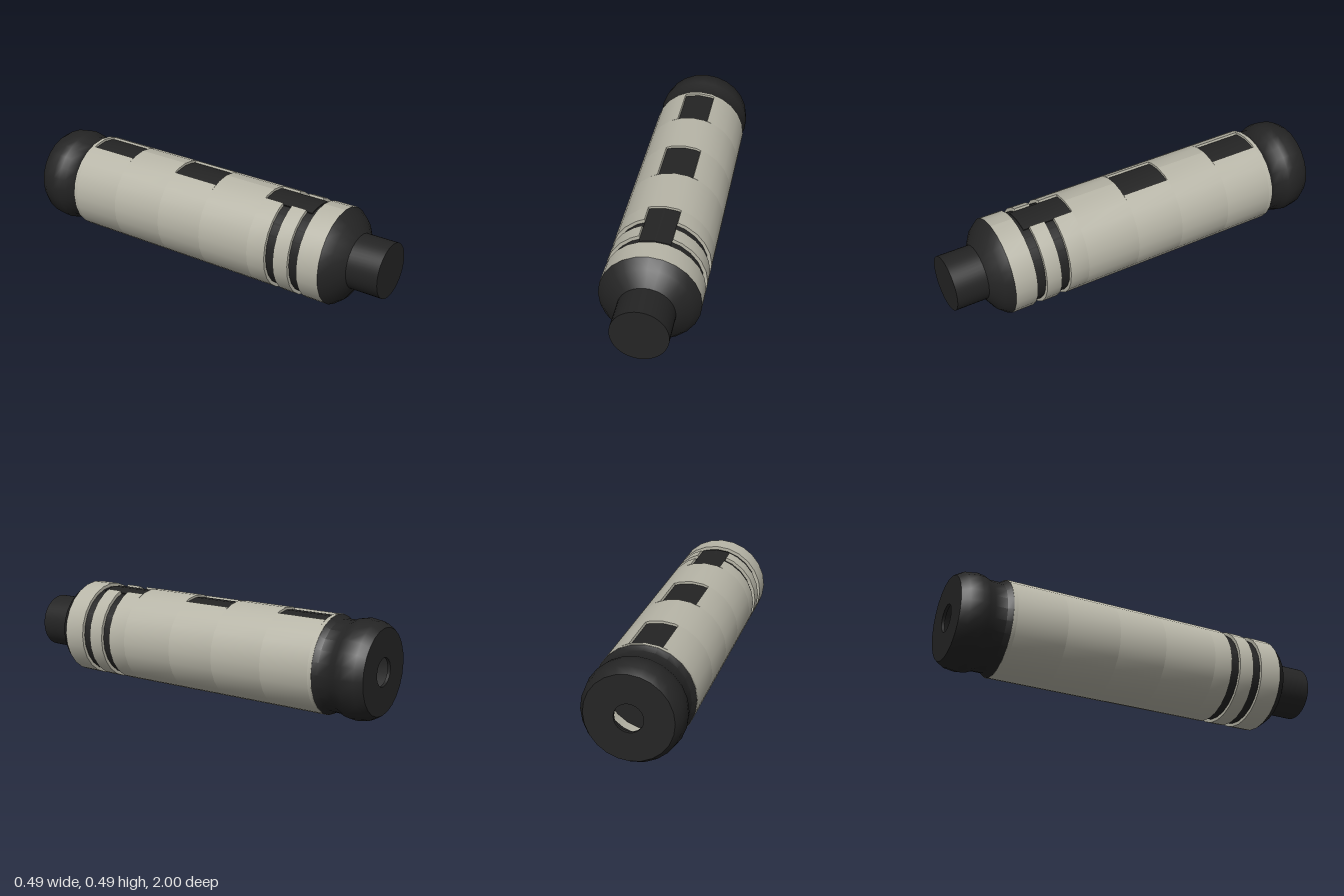
import * as THREE from 'three';
import { toCreasedNormals } from 'three/addons/utils/BufferGeometryUtils.js';

const STEP = Math.PI / 12; // 24 sides, one corner at the top
const AXIS_Y = 0.246;

const cream = new THREE.MeshStandardMaterial({ color: 0xb8b6a8 });
cream.name = 'cream shell';
const dark = new THREE.MeshStandardMaterial({ color: 0x242424 });
dark.name = 'black rubber';

// Profile of [radius, z] pairs turned about the z axis
function turned(profile, sides = 24) {
  const points = profile.map(([r, z]) => new THREE.Vector2(r, z));
  const geometry = new THREE.LatheGeometry(points, sides);
  geometry.rotateX(Math.PI / 2);
  return toCreasedNormals(geometry, 0.62);
}

// Curved slab between two radii, angles measured from the top
function curvedSlab(inner, outer, a0, a1, z0, z1) {
  const angles = [a0];
  for (let i = -24; i <= 24; i++) {
    const a = i * STEP;
    if (a > a0 + 0.01 && a < a1 - 0.01) angles.push(a);
  }
  angles.push(a1);
  const at = (r) => (a) => new THREE.Vector2(r * Math.sin(a), r * Math.cos(a));
  const shape = new THREE.Shape([
    ...angles.map(at(outer)),
    ...angles.slice().reverse().map(at(inner)),
  ]);
  const geometry = new THREE.ExtrudeGeometry(shape, { depth: z1 - z0, bevelEnabled: false });
  geometry.translate(0, 0, z0);
  return toCreasedNormals(geometry, 0.62);
}

export function createModel() {
  const model = new THREE.Group();
  model.name = 'handle';
  const add = (name, geometry, material) => {
    const mesh = new THREE.Mesh(geometry, material);
    mesh.name = name;
    mesh.position.y = AXIS_Y;
    model.add(mesh);
  };

  // Inner core, seen in the grooves
  add('core', turned([[0, -0.68], [0.228, -0.68], [0.228, 0.75], [0, 0.75]]), dark);

  // Outer sleeve: [z start, z end, half angle of the window at the top]
  const narrow = 0.333, wide = 0.38;
  const sleeves = [
    [-0.75, -0.73, 0], [-0.73, -0.47, narrow], [-0.47, -0.19, 0],
    [-0.19, 0.065, wide], [0.065, 0.35, 0], [0.35, 0.45, narrow],
    [0.5, 0.58, narrow], [0.63, 0.745, 0],
  ];
  for (const [z0, z1, gap] of sleeves) {
    const spans = gap ? [[gap - Math.PI * 2, -gap]] : [[-Math.PI, 0], [0, Math.PI]];
    for (const [a0, a1] of spans) {
      add('sleeve', curvedSlab(0.226, 0.245, a0, a1, z0, z1), cream);
    }
  }

  // Recessed plates in the three windows
  for (const [z0, z1, half] of [[-0.73, -0.47, narrow], [-0.19, 0.065, wide], [0.35, 0.61, narrow]]) {
    add('windowPlate', curvedSlab(0.224, 0.233, -half, half, z0, z1), dark);
  }

  // Tapered collar and round plug at the front
  add('frontCollar', turned([[0.245, 0.745], [0.21, 0.79], [0.136, 0.838]]), dark);
  add('frontPlug', turned([[0.138, 0.82], [0.138, 1], [0, 1]], 48), dark);

  // Hollow waisted cap with a round hole at the back
  add('backCap', turned([
    [0.07, -1], [0.212, -1], [0.236, -0.962], [0.245, -0.9], [0.239, -0.865],
    [0.226, -0.835], [0.226, -0.775], [0.245, -0.748], [0.218, -0.748],
    [0.2, -0.97], [0.07, -0.985], [0.07, -1],
  ]), dark);

  return model;
}
